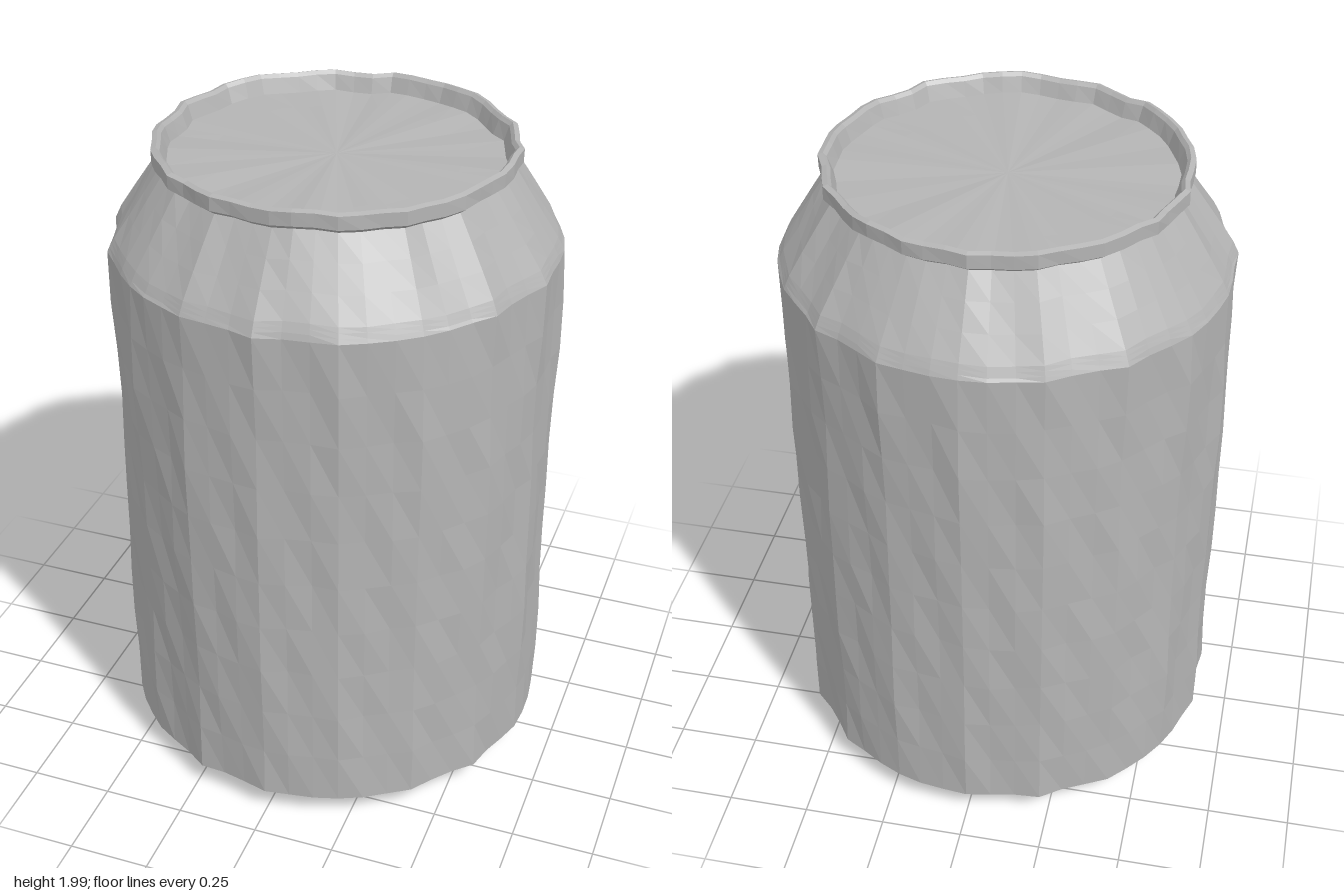
import * as THREE from 'three';

const SIDES = 18, SPLIT = 3, SEGMENTS = SIDES * SPLIT;

// Small dents: smooth waves that repeat round the can, so neighbouring parts meet.
const dent = (a, y) =>
  0.0035 * Math.sin(5 * a + 3.1 * y) +
  0.0035 * Math.sin(13 * a - 7 * y + 1) +
  0.003 * Math.sin(23 * a + 11 * y + 2);

// Turn a profile of [radius, height] points into a dented 18-sided surface.
function turned(name, profile, material, rows = 1) {
  const points = [];
  profile.forEach(([r, y], i) => {
    if (i > 0) {
      const [r0, y0] = profile[i - 1];
      for (let k = 1; k < rows; k++) {
        const t = k / rows;
        points.push(new THREE.Vector2(r0 + (r - r0) * t, y0 + (y - y0) * t));
      }
    }
    points.push(new THREE.Vector2(r, y));
  });
  const indexed = new THREE.LatheGeometry(points, SEGMENTS);
  const p = indexed.attributes.position;
  const step = (Math.PI * 2) / SIDES;
  for (let i = 0; i < p.count; i++) {
    const x = p.getX(i), y = p.getY(i), z = p.getZ(i);
    const r = Math.hypot(x, z);
    if (r < 1e-4) continue;
    const a = Math.atan2(x, z);
    // Pull the points between two corners onto the straight side.
    const local = a - (Math.floor(a / step + 1e-4) + 0.5) * step;
    const side = Math.cos(step / 2) / Math.cos(local);
    const k = side + dent(a, y) / 0.66;
    const lift = 0.006 * Math.sin(4 * a + 1) * Math.sin(9 * a) * Math.min(1, r / 0.4);
    const seam = Math.abs(y - 0.09) < 0.001 || Math.abs(y - 1.69) < 0.001;
    p.setXYZ(i, x * k, seam ? y : y + lift, z * k);
  }
  const geometry = indexed.toNonIndexed();
  geometry.computeVertexNormals();
  const mesh = new THREE.Mesh(geometry, material);
  mesh.name = name;
  return mesh;
}

export function createModel() {
  const can = new THREE.Group();
  can.name = 'drinkCan';
  const metal = new THREE.MeshStandardMaterial({ color: 0xb4b4b4, flatShading: true });
  metal.name = 'greyMetal';

  // Underside: recessed middle, standing ring and bevel
  can.add(turned('base', [[0, 0.06], [0.3, 0.06], [0.46, 0.03], [0.51, 0.012], [0.57, 0.025], [0.66, 0.09]], metal, 2));
  // Straight wall
  can.add(turned('body', [[0.66, 0.09], [0.66, 1.69]], metal, 10));
  // Tapered neck
  can.add(turned('shoulder', [[0.66, 1.69], [0.64, 1.73], [0.505, 1.935]], metal, 3));
  // Raised lip, outside and inside
  can.add(turned('rim', [[0.505, 1.935], [0.525, 1.95], [0.525, 1.99], [0.51, 1.995], [0.5, 1.985], [0.485, 1.94]], metal));
  // Sunken lid
  can.add(turned('lid', [[0.485, 1.94], [0, 1.94]], metal, 4));
  return can;
}
